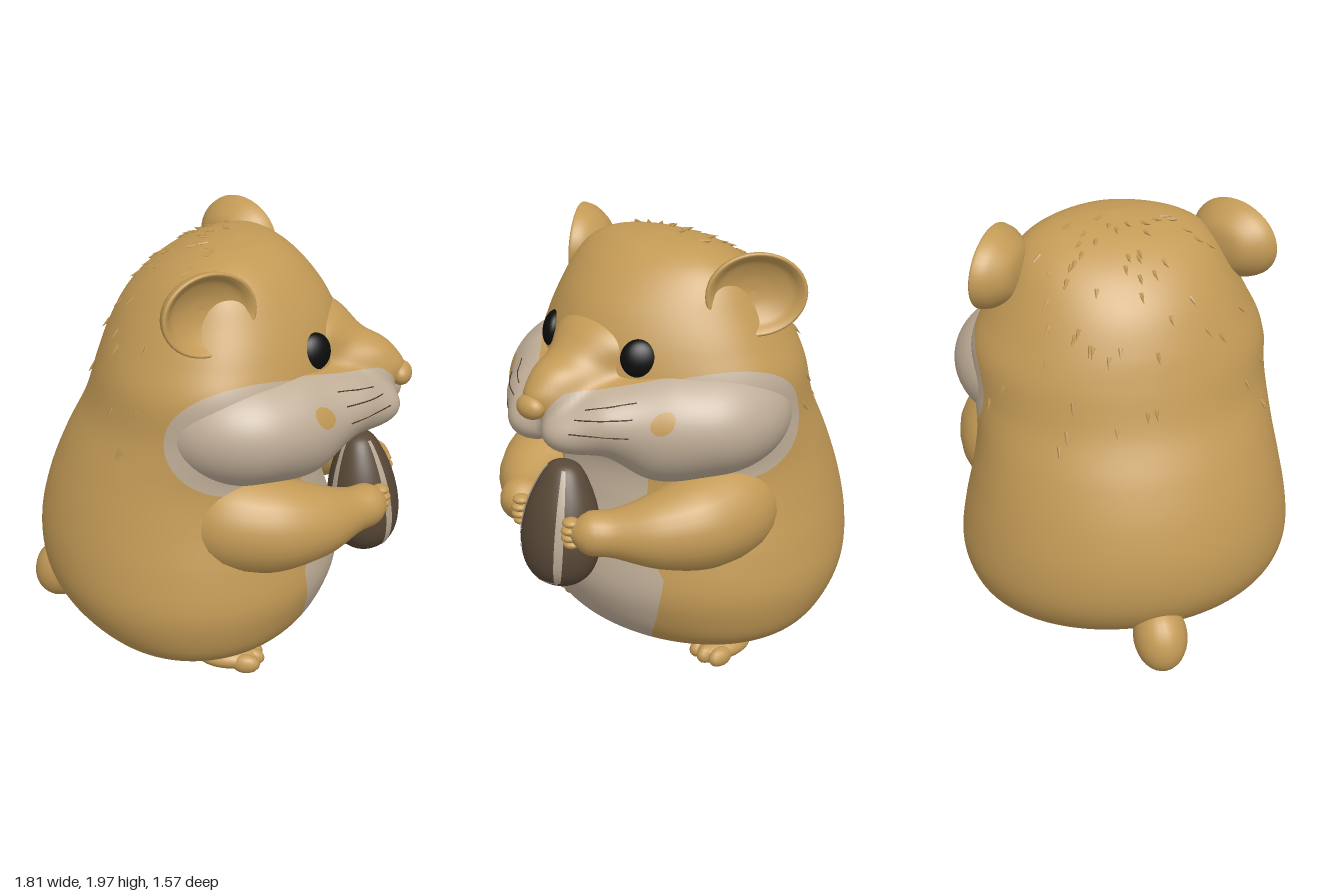
import * as THREE from 'three';
import { mergeVertices, mergeGeometries } from 'three/addons/utils/BufferGeometryUtils.js';

const V = (x, y, z) => new THREE.Vector3(x, y, z);
const { smoothstep } = THREE.MathUtils;
const mat = (name, color) => Object.assign(new THREE.MeshStandardMaterial({ color }), { name });

// Weld seams and give smooth normals
function smooth(geo) {
  geo.deleteAttribute('uv');
  geo.deleteAttribute('normal');
  const g = mergeVertices(geo, 1e-5);
  g.computeVertexNormals();
  return g;
}

// Cut the surface along rule(x, y, |z|) = 0; the positive side gets the second material
function paint(geo, rule) {
  const p = geo.attributes.position, nor = geo.attributes.normal, idx = geo.index.array;
  const pos = [[], []], nrm = [[], []];
  const emit = (...tri) => {
    const side = tri.reduce((s, v) => s + v.f, 0) > 0 ? 1 : 0;
    for (const v of tri) { pos[side].push(...v.p.toArray()); nrm[side].push(...v.n.toArray()); }
  };
  const cut = (a, b) => {
    const t = a.f / (a.f - b.f);
    return { p: a.p.clone().lerp(b.p, t), n: a.n.clone().lerp(b.n, t).normalize(), f: 0 };
  };
  const corner = i => {
    const v = V().fromBufferAttribute(p, i);
    return { p: v, n: V().fromBufferAttribute(nor, i), f: rule(v.x, v.y, Math.abs(v.z)) || -1e-9 };
  };
  for (let i = 0; i < idx.length; i += 3) {
    const c = [0, 1, 2].map(k => corner(idx[i + k])), pos3 = c.map(v => v.f > 0);
    const lone = [0, 1, 2].find(k => pos3[k] !== pos3[(k + 1) % 3] && pos3[k] !== pos3[(k + 2) % 3]);
    if (lone === undefined) { emit(...c); continue; }
    const a = c[lone], b = c[(lone + 1) % 3], d = c[(lone + 2) % 3], ab = cut(a, b), ad = cut(a, d);
    emit(a, ab, ad);
    emit(ab, b, d);
    emit(ab, d, ad);
  }
  const out = new THREE.BufferGeometry();
  out.setAttribute('position', new THREE.Float32BufferAttribute(pos[0].concat(pos[1]), 3));
  out.setAttribute('normal', new THREE.Float32BufferAttribute(nrm[0].concat(nrm[1]), 3));
  out.addGroup(0, pos[0].length / 3, 0);
  out.addGroup(pos[0].length / 3, pos[1].length / 3, 1);
  return out;
}

// Tube whose radius changes along its path
function taper(points, radii, n = 40, sides = 24) {
  const curve = new THREE.CatmullRomCurve3(points);
  const rad = new THREE.CatmullRomCurve3(radii.map((r, i) => V(r, i, 0)), false, 'catmullrom');
  const geo = new THREE.TubeGeometry(curve, n, 1, sides), p = geo.attributes.position, v = V();
  for (let i = 0; i < p.count; i++) {
    const u = Math.floor(i / (sides + 1)) / n, c = curve.getPointAt(u);
    const r = Math.max(0.004, rad.getPoint(curve.getUtoTmapping(u)).x);
    v.fromBufferAttribute(p, i).sub(c).multiplyScalar(r).add(c);
    p.setXYZ(i, v.x, v.y, v.z);
  }
  return smooth(geo);
}

// Body sections: height, back x, front x, half width
const SECTIONS = [
  [0.02, -0.05, -0.05, 0], [0.03, -0.32, 0.22, 0.42], [0.08, -0.52, 0.38, 0.59], [0.16, -0.64, 0.48, 0.7],
  [0.28, -0.76, 0.55, 0.76], [0.42, -0.825, 0.585, 0.785], [0.6, -0.835, 0.56, 0.765], [0.8, -0.79, 0.5, 0.725],
  [1.0, -0.71, 0.48, 0.69], [1.2, -0.61, 0.57, 0.68], [1.4, -0.545, 0.59, 0.675], [1.55, -0.49, 0.57, 0.61],
  [1.7, -0.41, 0.51, 0.53], [1.82, -0.3, 0.42, 0.46], [1.9, -0.18, 0.33, 0.37], [1.95, -0.05, 0.23, 0.23],
  [1.972, 0.09, 0.09, 0]];
const depthCurve = new THREE.CatmullRomCurve3(SECTIONS.map(s => V(s[1], s[0], s[2])), false, 'catmullrom');
const widthCurve = new THREE.CatmullRomCurve3(SECTIONS.map(s => V(s[3], s[0], 0)), false, 'catmullrom');
function bodyPoint(u, t) {
  const d = depthCurve.getPoint(t), w = widthCurve.getPoint(t).x, a = u * Math.PI * 2;
  const front = Math.max(0, -Math.cos(a)), pinch = 1 - 0.2 * front ** 2 * smoothstep(d.y, 1.2, 1.5);
  return V((d.x + d.z) / 2 - Math.cos(a) * (d.z - d.x) / 2, d.y, Math.sin(a) * w * pinch);
}

// Face masses blended together: centre, radii (mirrored in z)
const MASSES = [
  [0.15, 1.23, 0.38, 0.4, 0.28, 0.36], [0.38, 1.215, 0.33, 0.25, 0.25, 0.24], [0.52, 1.26, 0.2, 0.25, 0.17, 0.22],
  [0.72, 1.225, 0.11, 0.14, 0.1, 0.125], [0.4, 1.52, 0, 0.235, 0.17, 0.25], [0.6, 1.43, 0, 0.2, 0.11, 0.15],
  [0.73, 1.37, 0, 0.14, 0.08, 0.095], [0.4, 1.22, 0, 0.28, 0.2, 0.3]];
const BLEND = 0.09;
function faceField(x, y, z) {
  let f = 9;
  for (const [cx, cy, cz, a, b, c] of MASSES) {
    const px = (x - cx) / a, py = (y - cy) / b, pz = (Math.abs(z) - cz) / c;
    const k0 = Math.hypot(px, py, pz), d = k0 * (k0 - 1) / (Math.hypot(px / a, py / b, pz / c) + 1e-6);
    const h = Math.max(BLEND - Math.abs(f - d), 0) / BLEND;
    f = Math.min(f, d) - h * h * BLEND / 4;
  }
  return f;
}
function faceGeometry() {
  const geo = new THREE.SphereGeometry(1, 160, 110), p = geo.attributes.position;
  const o = V(0.3, 1.25, 0), v = V(), q = V();
  const at = r => { q.copy(v).multiplyScalar(r).add(o); return faceField(q.x, q.y, q.z); };
  for (let i = 0; i < p.count; i++) {
    v.fromBufferAttribute(p, i);
    let hi = 0.85;
    while (hi > 0.06 && at(hi) > 0) hi -= 0.02;
    let lo = hi;
    hi += 0.02;
    for (let k = 0; k < 9; k++) { const m = (lo + hi) / 2; if (at(m) > 0) hi = m; else lo = m; }
    at(lo);
    p.setXYZ(i, q.x, q.y, q.z);
  }
  return smooth(geo);
}
function faceX(y, z) {
  let x = 1;
  while (x > 0.2 && faceField(x, y, z) > 0) x -= 0.004;
  return x;
}
const lathePath = pts => new THREE.SplineCurve(pts.map(a => new THREE.Vector2(...a))).getPoints(40)
  .map(q => new THREE.Vector2(Math.max(0, q.x), q.y));

export function createModel() {
  const group = new THREE.Group();
  const tan = mat('tan fur', 0xc39a56), cream = mat('cream fur', 0xbfad97), black = mat('eye black', 0x0c0c0c);
  const brown = mat('seed brown', 0x584837), stripe = mat('seed stripe', 0xb8a894), whiskerMat = mat('whisker brown', 0x4a3a28);
  const add = (name, geo, material, parent = group) => {
    const m = new THREE.Mesh(geo, material);
    m.name = name;
    parent.add(m);
    return m;
  };
  const ball = (name, c, r, material, seg = 24) => {
    const m = add(name, new THREE.SphereGeometry(1, seg, Math.round(seg * 0.7)), material);
    m.position.set(...c);
    m.scale.set(...r);
    return m;
  };

  // Body and skull, with belly, chest and cheek patches
  const body = new THREE.SphereGeometry(1, 120, 120), bp = body.attributes.position, uv = body.attributes.uv;
  for (let i = 0; i < bp.count; i++) {
    const q = bodyPoint(uv.getX(i), uv.getY(i));
    bp.setXYZ(i, q.x, q.y, q.z);
  }
  const bellyWidth = y => y < 0.5 ? 0.42 - 1.05 * (0.5 - y) ** 2 : Math.max(0.28, 0.42 - (y - 0.5) * 0.6);
  add('body', paint(smooth(body), (x, y, z) => Math.max(
    Math.min(x - 0.15, y - 0.08, 1.08 - y, bellyWidth(y) - z),
    Math.min(z - 0.2, 0.2 - 0.2 * Math.hypot((x - 0.24) / 0.38, (y - 1.22) / 0.265)))), [tan, cream]);

  // Cheeks, muzzle and snout
  add('face', paint(faceGeometry(), (x, y, z) => Math.min(
    x > 0.3 ? Math.hypot(z - 0.5, (y - 1.31) * 0.8) - 0.04 : 1,
    1.405 + 0.08 * smoothstep(z, 0.12, 0.55) - y,
    x > 0.3 ? 1 : 0.2 - 0.2 * Math.hypot((x - 0.3) / 0.44, (y - 1.22) / 0.3),
    Math.max(1.29 - y, z - 0.05 - (y - 1.29) * 0.6))), [tan, cream]);
  ball('nose', [0.855, 1.335, 0], [0.052, 0.055, 0.075], tan);
  ball('tooth', [0.71, 1.145, 0], [0.05, 0.042, 0.045], tan, 12);

  // Tail
  const tail = ball('tail', [-0.765, 0.205, 0], [0.135, 0.165, 0.125], tan);
  tail.rotation.z = -0.5;

  // Seed with pale stripes that meet under the front
  const seed = new THREE.Group();
  seed.name = 'seed';
  group.add(seed);
  const profile = lathePath([[0, -0.3], [0.1, -0.275], [0.17, -0.2], [0.195, -0.08], [0.178, 0.06],
    [0.135, 0.18], [0.075, 0.275], [0, 0.3]]);
  add('seedShell', new THREE.LatheGeometry(profile, 48), brown, seed);
  const strip = (from, to, angle, width) => add('seedStripe', new THREE.LatheGeometry(
    profile.slice(from, to).map(q => new THREE.Vector2(q.x + 0.004, q.y)), 16, Math.PI / 2 + angle - width / 2, width), stripe, seed);
  for (const a of [-0.72, 0.72, Math.PI - 0.72, Math.PI + 0.72]) strip(8, 35, a, 0.22);
  strip(7, 9, 0, 1.5);
  seed.position.set(0.7, 0.73, 0);
  seed.scale.set(0.87, 1, 1);
  seed.rotation.z = 0.1;

  // Paired parts
  const earProfile = lathePath([[0, -0.14], [0.12, -0.12], [0.2, -0.05], [0.225, 0.01], [0.215, 0.025],
    [0.195, 0.012], [0.16, -0.02], [0.08, -0.05], [0, -0.06]]);
  for (const s of [1, -1]) {
    const side = s > 0 ? 'left' : 'right';
    const ear = add(side + 'Ear', new THREE.LatheGeometry(earProfile, 40).rotateX(Math.PI / 2), tan);
    ear.position.set(0.04, 1.785, 0.555 * s);
    ear.scale.set(1, 0.83, 1);
    ear.lookAt(0.04 + 0.58, 1.785 + 0.04, (0.555 + 0.81) * s);

    const eye = ball(side + 'Eye', [0.472, 1.53, 0.282 * s], [0.086, 0.086, 0.05], black);
    eye.lookAt(0.472 + 0.64, 1.53 + 0.2, (0.282 + 0.75) * s);

    // Arm growing out of the flank, with paw and fingers
    add(side + 'Arm', taper([V(-0.25, 0.76, 0.4 * s), V(0.05, 0.79, 0.475 * s), V(0.3, 0.775, 0.49 * s), V(0.5, 0.765, 0.42 * s),
      V(0.66, 0.765, 0.3 * s), V(0.75, 0.77, 0.22 * s), V(0.8, 0.77, 0.16 * s)], [0.02, 0.22, 0.225, 0.175, 0.11, 0.095, 0.02]), tan);
    for (let k = 0; k < 4; k++)
      ball(side + 'Finger', [0.79 + 0.012 * Math.sin(k), 0.715 + k * 0.034, 0.17 * s], [0.04, 0.022, 0.04], tan, 12);

    // Foot with toes
    ball(side + 'Foot', [0.12, 0.055, 0.47 * s], [0.15, 0.055, 0.095], tan);
    for (let k = -1; k <= 1; k++)
      ball(side + 'Toe', [0.225 - 0.015 * Math.abs(k), 0.047, (0.47 + k * 0.062) * s], [0.068, 0.047, 0.04], tan, 12);

    // Whiskers lying on the muzzle
    for (const [y0, y1, z0, z1] of [[1.35, 1.385, 0.22, 0.38], [1.31, 1.325, 0.2, 0.4], [1.255, 1.245, 0.2, 0.4]]) {
      const pts = [0, 0.25, 0.5, 0.75, 1].map(t => {
        const y = y0 + (y1 - y0) * t, z = z0 + (z1 - z0) * t;
        return V(faceX(y, z) + 0.002, y, z * s);
      });
      add(side + 'Whisker', new THREE.TubeGeometry(new THREE.CatmullRomCurve3(pts), 12, 0.003, 5), whiskerMat);
    }
  }

  // Small fur tufts lying along the crown and back
  let n = 7;
  const rnd = () => (n = (n * 16807) % 2147483647) / 2147483647;
  const tufts = [];
  for (let i = 0; i < 60; i++) {
    const t = 0.54 + 0.43 * rnd(), u = (rnd() - 0.5) * 0.4, q = bodyPoint(u, t);
    const dir = bodyPoint(u, t - 0.03).sub(q).normalize().addScaledVector(q.clone().sub(V(0, 1.2, 0)).normalize(), 0.4).normalize();
    const cone = new THREE.ConeGeometry(0.012, 0.055, 5).translate(0, 0.013, 0);
    cone.applyQuaternion(new THREE.Quaternion().setFromUnitVectors(V(0, 1, 0), dir)).translate(q.x, q.y, q.z);
    tufts.push(cone);
  }
  add('furTufts', mergeGeometries(tufts), tan);
  return group;
}
